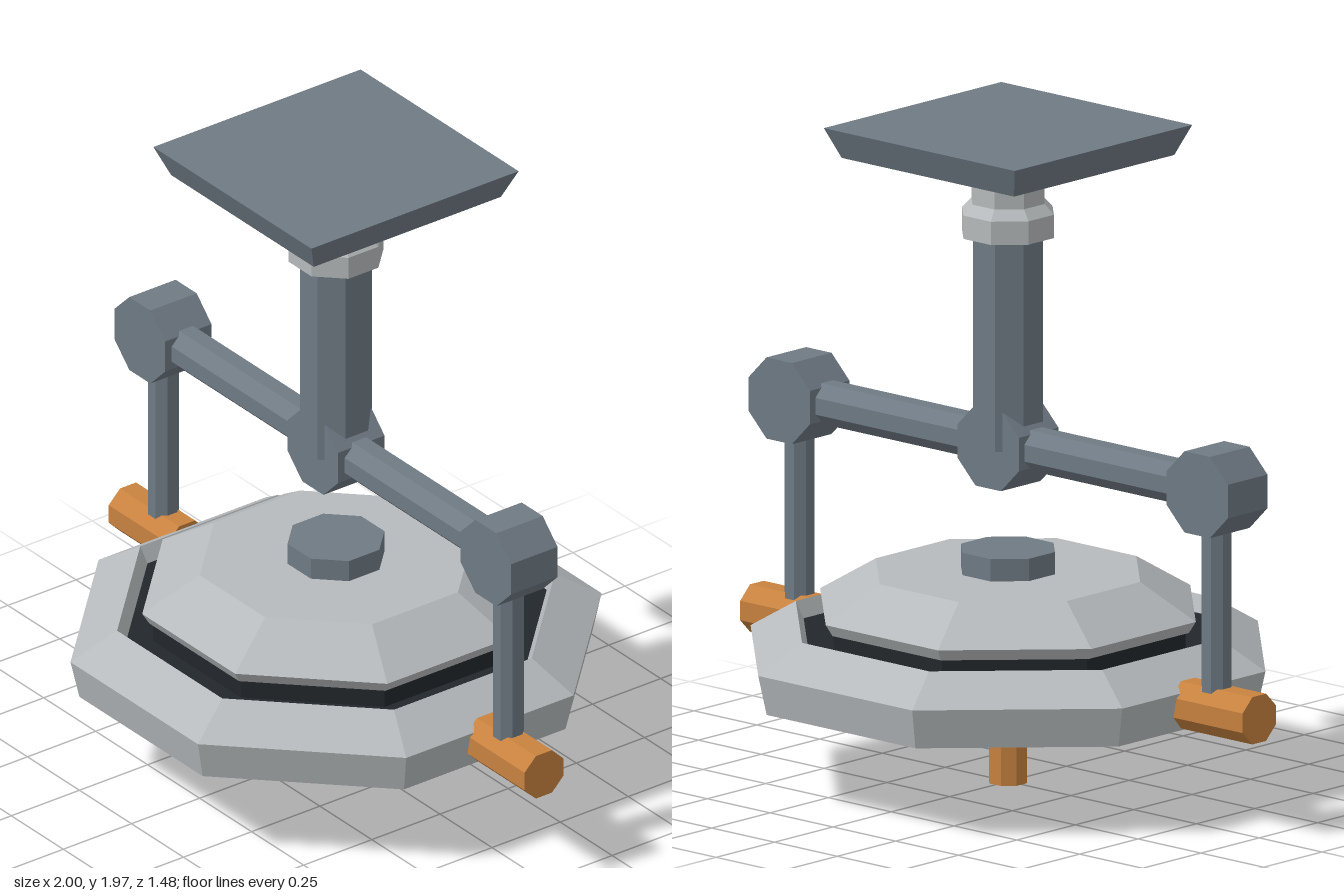
import * as THREE from 'three';

const mat = (color, side = THREE.FrontSide) =>
  new THREE.MeshStandardMaterial({ color, flatShading: true, side });

export function createModel() {
  const model = new THREE.Group();
  const grey = mat(0xb6babc);
  const steel = mat(0x6f7a84);
  const copper = mat(0xc8823f);
  const dark = mat(0x22272b, THREE.DoubleSide);

  const add = (name, geometry, material, parent = model) => {
    const mesh = new THREE.Mesh(geometry, material);
    mesh.name = name;
    parent.add(mesh);
    return mesh;
  };

  // Octagonal turning; profile is [distance to flat, y], running bottom to top
  const K = 1 / Math.cos(Math.PI / 8);
  const octagon = (profile) => new THREE.LatheGeometry(
    profile.map(([r, y]) => new THREE.Vector2(r * K, y)), 8, Math.PI / 8);
  const prism = (r, y0, y1) => octagon([[0, y0], [r, y0], [r, y1], [0, y1]]);

  // Ceiling plate: square, flaring upwards
  const plate = new THREE.CylinderGeometry(0.38 * Math.SQRT2, 0.343 * Math.SQRT2, 0.09, 4);
  plate.rotateY(Math.PI / 4).translate(0, 1.923, 0);
  add('ceilingPlate', plate, steel);

  // Hanging column and its collar
  add('columnCollar', octagon([[0, 1.645], [0.132, 1.645], [0.132, 1.715],
    [0.105, 1.745], [0.105, 1.88], [0, 1.88]]), grey);
  add('column', prism(0.1, 1.015, 1.66), steel);

  // Yoke joints, lying along z
  const joint = (name, x) =>
    add(name, prism(0.122, -0.085, 0.085).rotateX(Math.PI / 2).translate(x, 1.018, 0), steel);
  joint('centreJoint', 0);

  // Yoke arms, mirrored
  for (const [side, s] of [['left', 1], ['right', -1]]) {
    joint(side + 'Joint', s * 0.832);
    add(side + 'Arm', prism(0.061, -0.34, 0.34).rotateZ(Math.PI / 2)
      .translate(s * 0.4, 1.018, 0), steel);
    add(side + 'Strut', prism(0.043, 0.41, 0.95).translate(s * 0.83, 0, 0), steel);
    add(side + 'Pivot', prism(0.071, -0.142, 0.142).rotateZ(Math.PI / 2)
      .translate(s * 0.858, 0.357, 0), copper);
  }

  // Housing: shell, dark groove, raised cap and nut
  add('housingShell', octagon([[0.695, 0.28], [0.715, 0.28], [0.74, 0.4],
    [0.61, 0.485], [0.585, 0.43]]), grey);
  add('housingGroove', octagon([[0.59, 0.435], [0.51, 0.435], [0.51, 0.495]]), dark);
  add('housingCap', octagon([[0, 0.495], [0.52, 0.495], [0.54, 0.53],
    [0.38, 0.635], [0, 0.635]]), grey);
  add('capNut', prism(0.135, 0.62, 0.702), steel);

  // Underside: dark recess, hub and tapered ribs running to the corners
  add('recess', octagon([[0, 0.345], [0.68, 0.345], [0.697, 0.281]]), dark);
  add('hub', prism(0.13, 0.285, 0.36), grey);
  const rib = new THREE.BoxGeometry(1, 0.065, 0.66).translate(0, 0.3175, 0.4);
  const p = rib.attributes.position;
  for (let i = 0; i < p.count; i++) {
    p.setX(i, p.getX(i) * (0.04 + 0.1 * p.getZ(i)));
  }
  const ribs = new THREE.Group();
  ribs.name = 'ribs';
  model.add(ribs);
  for (let i = 0; i < 8; i++) {
    add('rib', rib, grey, ribs).rotation.y = (i + 0.5) * Math.PI / 4;
  }

  // Nozzle below the hub
  add('nozzle', octagon([[0, 0], [0.055, 0], [0.055, 0.19], [0.098, 0.22],
    [0.098, 0.3], [0, 0.3]]), copper);

  return model;
}
